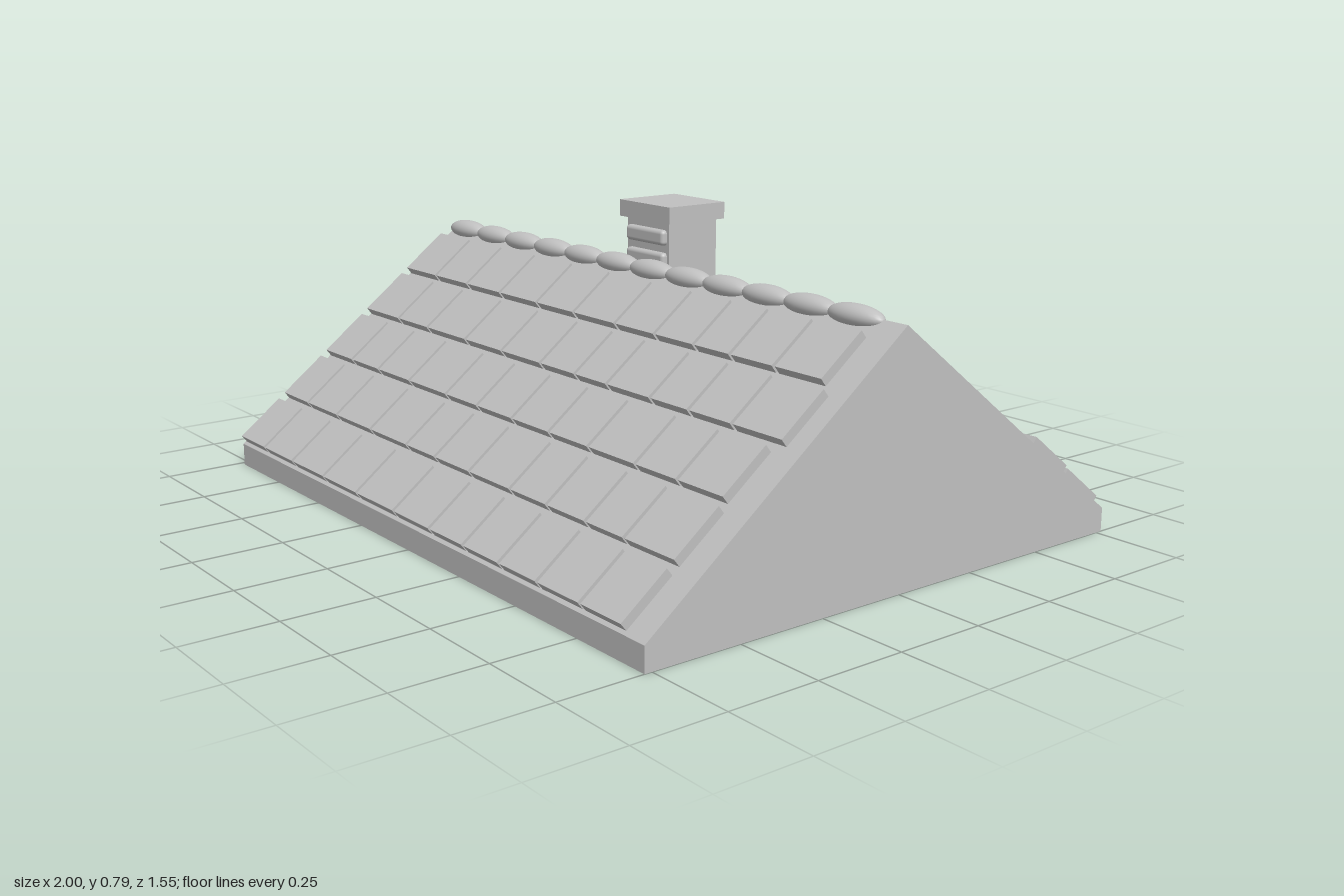
import * as THREE from 'three';
import { RoundedBoxGeometry } from 'three/addons/geometries/RoundedBoxGeometry.js';

const LEFT = -0.98, RIGHT = 1, HALF = 0.77, EAVE = 0.065, APEX = 0.66;
const PITCH = Math.atan2(APEX - EAVE, HALF);

// Joints between tiles along each course (hundredths of a unit), from ridge to eave
const FRONT = [
  [-98, -80, -62, -44, -25, -7, 12, 29, 45, 59, 75, 92],
  [-98, -78, -61, -40, -21, -2, 14, 28, 46, 61, 77, 95],
  [-98, -81, -65, -47, -27, -11, 6, 23, 40, 59, 75, 92],
  [-98, -82, -64, -44, -24, -9, 8, 27, 43, 59, 74, 93],
  [-98, -82, -64, -45, -26, -6, 12, 28, 44, 60, 77, 93],
];
const BACK = [
  [-98, -78, -58, -40, -20, 0, 20, 37, 56, 74, 92],
  [-98, -80, -62, -42, -25, -7, 8, 25, 43, 59, 77, 92],
  [-98, -82, -66, -49, -28, -12, 4, 19, 39, 59, 76, 92],
  [-98, -81, -66, -46, -27, -9, 12, 30, 49, 66, 84, 99],
  [-98, -80, -60, -43, -22, -5, 12, 28, 43, 63, 79, 98],
];

export function createModel() {
  const model = new THREE.Group();
  model.name = 'tiledRoof';
  const grey = new THREE.MeshStandardMaterial({ color: 0xc0c0c0 });
  grey.name = 'light grey';

  const add = (name, geometry, x, y, z, parent = model) => {
    const mesh = new THREE.Mesh(geometry, grey);
    mesh.name = name;
    mesh.position.set(x, y, z);
    parent.add(mesh);
    return mesh;
  };

  // Base slab with two peg holes in the underside
  const slab = new THREE.Shape();
  slab.moveTo(LEFT, -HALF).lineTo(RIGHT, -HALF).lineTo(RIGHT, HALF).lineTo(LEFT, HALF).closePath();
  for (const s of [1, -1]) {
    slab.holes.push(new THREE.Path().absarc(0.76 * s, 0.645 * s, 0.037, 0, Math.PI * 2, true));
  }
  const slabGeometry = new THREE.ExtrudeGeometry(slab, { depth: EAVE, bevelEnabled: false, curveSegments: 20 });
  slabGeometry.rotateX(-Math.PI / 2);
  add('baseSlab', slabGeometry, 0, 0, 0);

  // Gabled body
  const gable = new THREE.Shape();
  gable.moveTo(-HALF, EAVE).lineTo(HALF, EAVE).lineTo(0, APEX).closePath();
  const gableGeometry = new THREE.ExtrudeGeometry(gable, { depth: RIGHT - LEFT, bevelEnabled: false });
  gableGeometry.rotateY(Math.PI / 2);
  add('gableBody', gableGeometry, LEFT, 0, 0);

  // Tile courses, laid out in a frame that starts at the ridge and runs down the slope
  const tileSlope = (name, courses, side) => {
    const turn = new THREE.Group();
    turn.name = name;
    turn.position.y = APEX;
    turn.rotation.y = side > 0 ? 0 : Math.PI;
    const slope = new THREE.Group();
    slope.name = name + 'Courses';
    slope.rotation.x = PITCH;
    turn.add(slope);
    model.add(turn);
    courses.forEach((joints, row) => {
      for (let i = 0; i < joints.length - 1; i++) {
        const a = joints[i] / 100, b = joints[i + 1] / 100;
        const tile = new THREE.BoxGeometry(b - a - 0.011, 0.03, 0.16);
        add('roofTile', tile, side * (a + b) / 2, 0.01, 0.142 + row * 0.185, slope);
      }
    });
  };
  tileSlope('frontTiles', FRONT, 1);
  tileSlope('backTiles', BACK, -1);

  // Row of overlapping ridge caps
  const cap = new THREE.SphereGeometry(1, 24, 16);
  for (let i = 0; i < 12; i++) {
    add('ridgeCap', cap, -0.907 + i * 0.158, 0.655, 0).scale.set(0.093, 0.03, 0.036);
  }

  // Chimney: shaft, top slab and raised brick courses on its ridge side
  add('chimneyShaft', new THREE.BoxGeometry(0.2, 0.44, 0.18), -0.3, 0.52, -0.34);
  add('chimneyTop', new THREE.BoxGeometry(0.24, 0.05, 0.21), -0.3, 0.76, -0.34);
  const brick = new RoundedBoxGeometry(0.18, 0.046, 0.04, 3, 0.012);
  for (let i = 0; i < 3; i++) {
    add('chimneyBrick', brick, -0.3, 0.69 - i * 0.068, -0.252);
  }
  return model;
}
